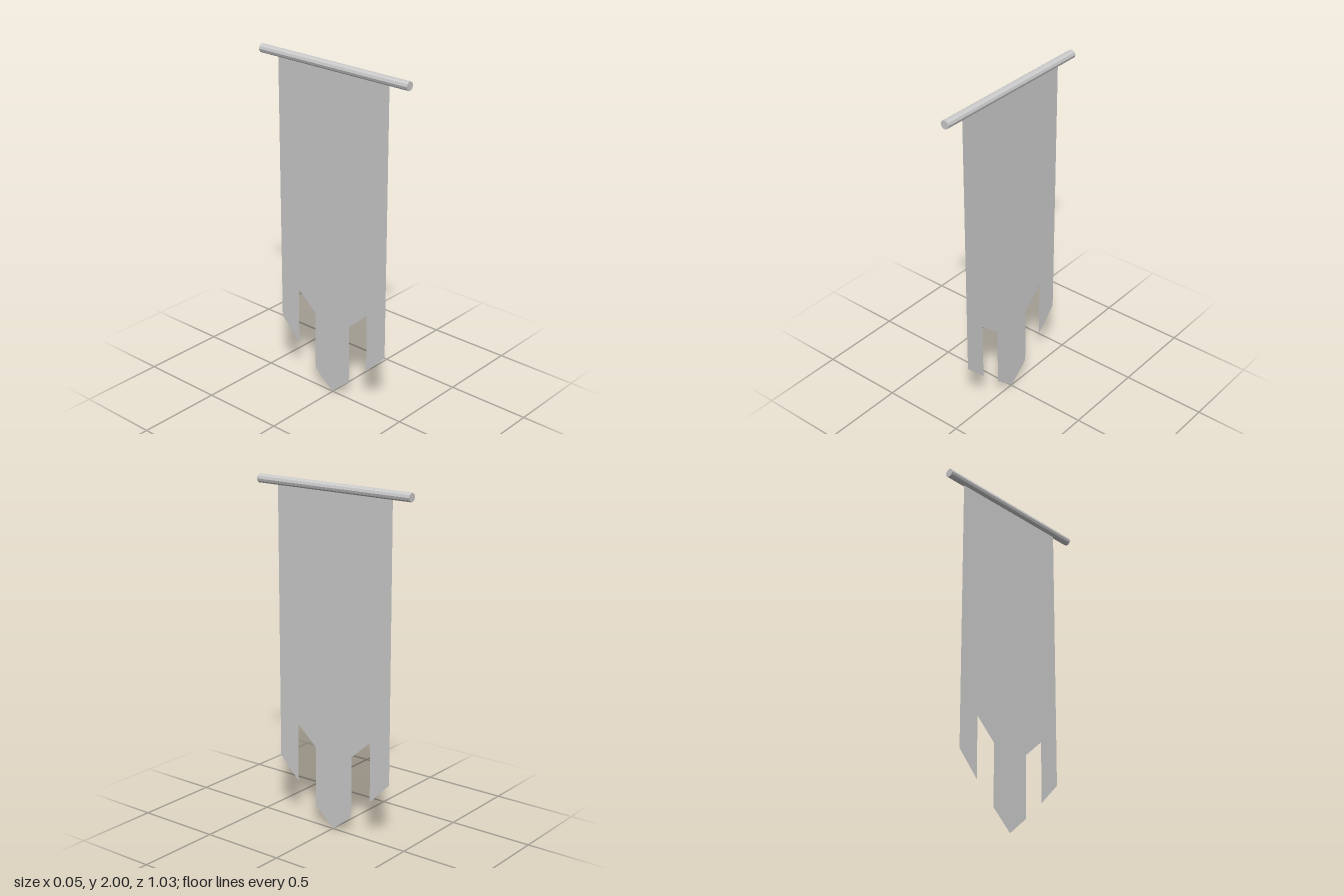
import * as THREE from 'three';

export function createModel() {
  const group = new THREE.Group();

  // Ten-sided pole along z, with a flat side on top
  const radius = 0.025, sides = 10;
  const poleY = 2 - radius * Math.cos(Math.PI / sides);
  const poleGeometry = new THREE.CylinderGeometry(radius, radius, 1.03, sides, 1, false, Math.PI / sides);
  poleGeometry.rotateX(Math.PI / 2);
  const pole = new THREE.Mesh(poleGeometry, new THREE.MeshStandardMaterial({ color: 0xcccccc, flatShading: true }));
  pole.name = 'pole';
  pole.position.y = poleY;
  group.add(pole);

  // Hanging cloth: half outline from the top corner to the centre tip, then mirrored
  const half = [[0.389, poleY], [0.389, 0.365], [0.257, 0.23], [0.257, 0.585], [0.128, 0.47], [0.128, 0.11]];
  const mirrored = half.map(([x, y]) => [-x, y]).reverse();
  const outline = [...half, [0, 0], ...mirrored].map(([x, y]) => new THREE.Vector2(x, y));
  const clothGeometry = new THREE.ShapeGeometry(new THREE.Shape(outline));
  clothGeometry.rotateY(Math.PI / 2);
  const cloth = new THREE.Mesh(clothGeometry, new THREE.MeshStandardMaterial({ color: 0xcccccc, side: THREE.DoubleSide }));
  cloth.name = 'bannerCloth';
  cloth.position.z = -0.005;
  group.add(cloth);

  return group;
}
